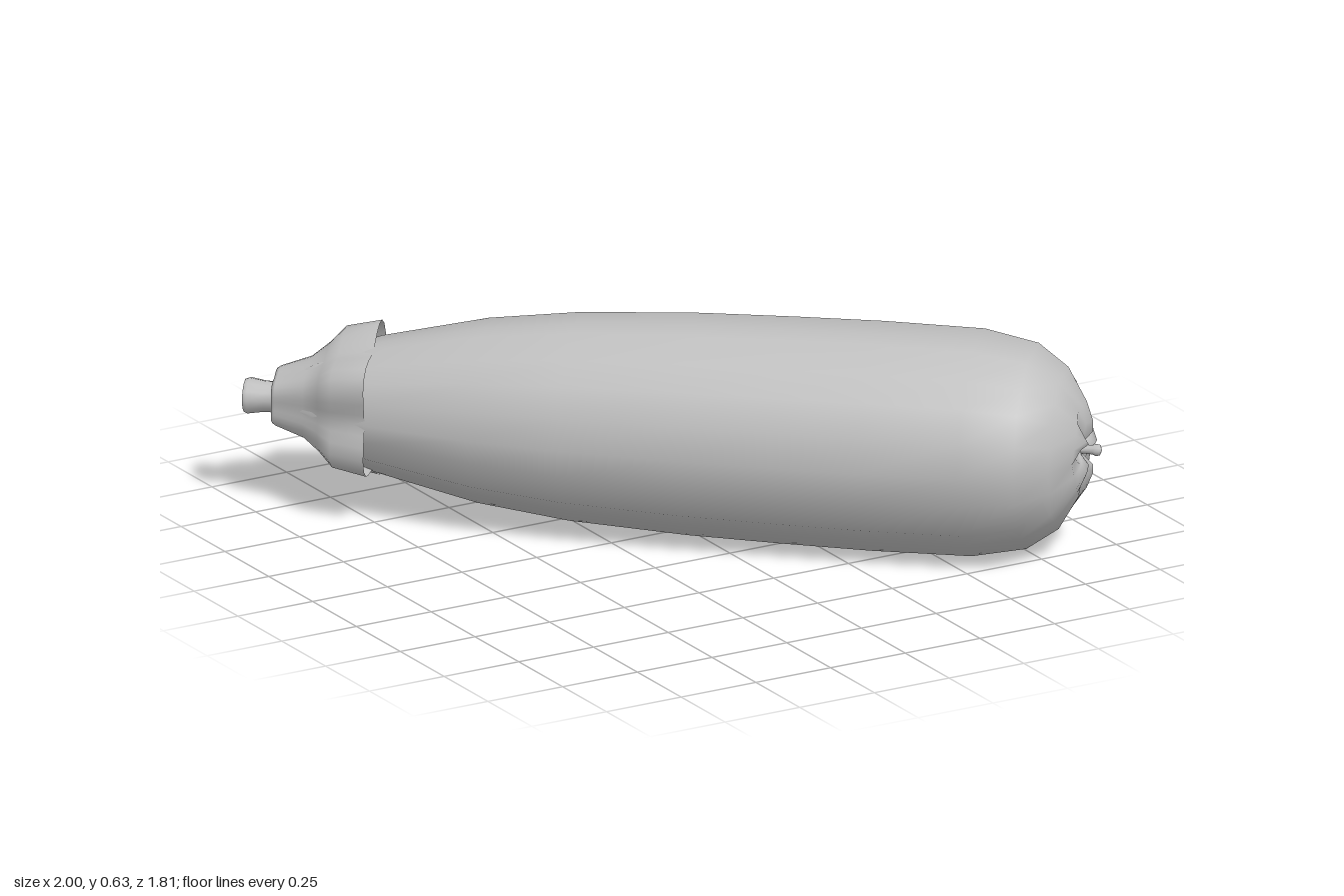
import * as THREE from 'three';

// Long axis runs diagonally in plan: t along it, u across it, y up.
const START = new THREE.Vector3(-0.965, 0.316, -0.87);
const AXIS = new THREE.Vector3(0.751, 0, 0.661);
const SIDE = new THREE.Vector3(0.661, 0, -0.751);

// Skins rings listed from stem to tip; ring = { t, r(angle), dip(angle) }
function loft(rings, segments) {
  const pos = [], index = [];
  for (const { t, r, dip } of rings) {
    for (let j = 0; j < segments; j++) {
      const a = (j / segments) * Math.PI * 2;
      const radius = r(a);
      const p = START.clone()
        .addScaledVector(AXIS, t - (dip ? dip(a) : 0))
        .addScaledVector(SIDE, radius * Math.cos(a));
      p.y += radius * Math.sin(a) * 0.975;
      pos.push(p.x, p.y, p.z);
    }
  }
  for (let i = 0; i < rings.length - 1; i++) {
    for (let j = 0; j < segments; j++) {
      const k = (j + 1) % segments;
      const a = i * segments + j, b = i * segments + k;
      const c = a + segments, d = b + segments;
      index.push(a, b, c, b, d, c);
    }
  }
  const g = new THREE.BufferGeometry();
  g.setAttribute('position', new THREE.Float32BufferAttribute(pos, 3));
  g.setIndex(index);
  g.computeVertexNormals();
  return g;
}

// Rings of [t, mean radius, lobe height] with a number of lobes
const lobed = (rows, lobes) => rows.map(([t, r, amp = 0]) => ({
  t, r: (a) => r + amp * Math.cos(lobes * a),
}));

export function createModel() {
  const group = new THREE.Group();
  const skin = new THREE.MeshStandardMaterial({ color: 0xbfbfbf, side: THREE.DoubleSide });
  skin.name = 'grey skin';
  const add = (name, geometry) => {
    const mesh = new THREE.Mesh(geometry, skin);
    mesh.name = name;
    group.add(mesh);
  };

  // Body with ten soft ridges, puckered into a star at the blossom end
  const profile = [
    [0.12, 0.07], [0.22, 0.135], [0.39, 0.202], [0.7, 0.274], [0.97, 0.309],
    [1.32, 0.329], [1.6, 0.336], [1.86, 0.34], [2.155, 0.337], [2.314, 0.305],
    [2.405, 0.24], [2.465, 0.142], [2.487, 0.085], [2.488, 0.055], [2.465, 0.025], [2.45, 0.001],
  ];
  add('body', loft(profile.map(([t, r], i) => {
    const pucker = [0, 0.004, 0.016, 0.022, 0.008, 0][i - 10] || 0;
    return {
      t,
      r: (a) => r * (0.972 + 0.028 * Math.cos(10 * a)),
      dip: (a) => pucker * (1 - Math.cos(5 * a)),
    };
  }), 20));

  // Flared cap with five lobes
  add('calyx', loft(lobed([
    [0.085, 0.001], [0.085, 0.045], [0.09, 0.08, 0.006], [0.1, 0.088, 0.006],
    [0.19, 0.121, 0.008], [0.24, 0.158, 0.015], [0.285, 0.2, 0.024], [0.388, 0.221, 0.027],
  ], 5), 40));

  // Stem stub, doubled ring keeps the cut end crisp
  add('stem', loft(lobed([
    [0, 0.001], [0, 0.05], [0, 0.05], [0.012, 0.055], [0.06, 0.047], [0.11, 0.047],
  ], 5), 12));

  // Small nub in the pucker
  add('blossomNub', loft(lobed([
    [2.44, 0.012], [2.49, 0.014], [2.5, 0.018], [2.512, 0.016], [2.518, 0.001],
  ], 5), 10));

  return group;
}
